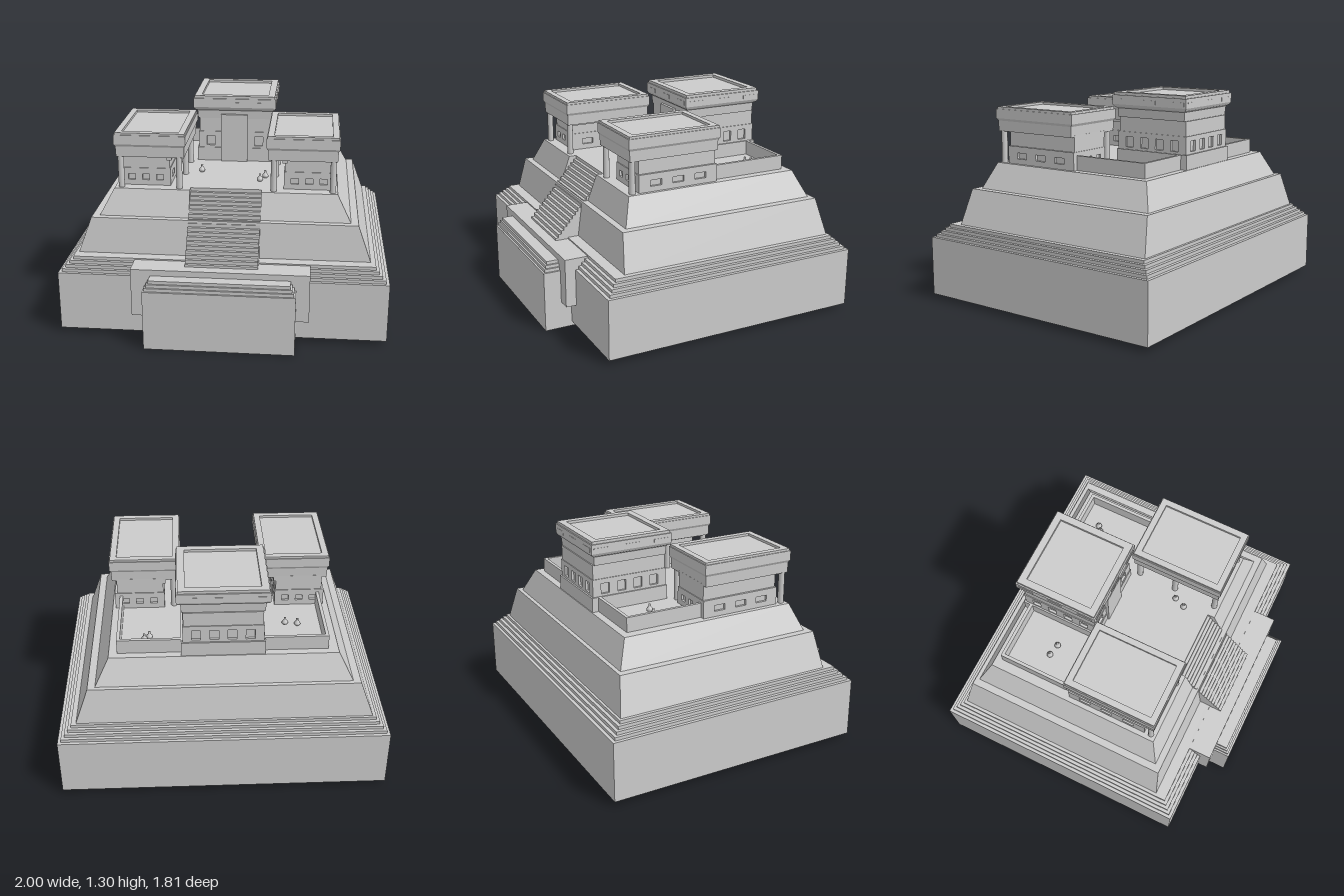
import * as THREE from 'three';

const mat = new THREE.MeshStandardMaterial({ color: 0xcccccc, flatShading: true, side: THREE.DoubleSide });
const smooth = new THREE.MeshStandardMaterial({ color: 0xcccccc, side: THREE.DoubleSide });

function add(parent, name, geo, material = mat) {
  const m = new THREE.Mesh(geo, material);
  m.name = name;
  parent.add(m);
  return m;
}

// Box from its limits
function box(parent, name, x0, x1, y0, y1, z0, z1) {
  const g = new THREE.BoxGeometry(Math.abs(x1 - x0), y1 - y0, z1 - z0);
  g.translate((x0 + x1) / 2, (y0 + y1) / 2, (z0 + z1) / 2);
  return add(parent, name, g);
}

// Shell through outlines of [x, y, z] corners, closed at the last one
function loft(parent, name, loops) {
  const pos = [], n = loops[0].length, last = loops[loops.length - 1];
  for (let k = 0; k + 1 < loops.length; k++) {
    const lo = loops[k], hi = loops[k + 1];
    for (let i = 0; i < n; i++) {
      const j = (i + 1) % n;
      pos.push(...lo[i], ...lo[j], ...hi[j], ...lo[i], ...hi[j], ...hi[i]);
    }
  }
  const flat = last.map(([x, , z]) => new THREE.Vector2(x, -z));
  for (const tri of THREE.ShapeUtils.triangulateShape(flat, [])) for (const i of tri) pos.push(...last[i]);
  const g = new THREE.BufferGeometry();
  g.setAttribute('position', new THREE.Float32BufferAttribute(pos, 3));
  g.computeVertexNormals();
  return add(parent, name, g);
}

// Shell through rectangles [x0, x1, z0, z1, y]
function shell(parent, name, rings) {
  return loft(parent, name, rings.map(([x0, x1, z0, z1, y]) => [[x0, y, z1], [x1, y, z1], [x1, y, z0], [x0, y, z0]]));
}

const inset = ([x0, x1, z0, z1], d) => [x0 + d, x1 - d, z0 + d, z1 - d];

// Rings of a hollow plinth: inner wall, stepped lower rim, outer wall, stepped top
function plinthRings(plan, y0, y1, steps, tread, rise) {
  const rings = [[...inset(plan, steps * tread), y1]];
  for (let i = steps; i > 0; i--) {
    rings.push([...inset(plan, i * tread), y0 + i * rise], [...inset(plan, (i - 1) * tread), y0 + i * rise]);
  }
  rings.push([...plan, y0], [...plan, y1]);
  for (let i = 1; i <= steps; i++) {
    const r = inset(plan, i * tread);
    rings.push([...r, y1 + (i - 1) * rise], [...r, y1 + i * rise]);
  }
  return rings;
}

// Roof: stack of [inset, y] over a plan rectangle, ending in a sunken top
function roof(parent, name, plan, profile) {
  shell(parent, name, profile.map(([d, y]) => [...inset(plan, d), y]));
}

// Window band: recessed core between two rails, with posts round all sides
function windowBand(parent, plan, y0, s0, s1, y1, nx, nz) {
  const [x0, x1, z0, z1] = plan;
  const [a, b, c, e] = inset(plan, 0.015);
  box(parent, 'windowRecess', a, b, s0, s1, c, e);
  box(parent, 'lowerRail', x0, x1, y0, s0, z0, z1);
  box(parent, 'upperRail', x0, x1, s1, y1, z0, z1);
  const wx = (x1 - x0) / (2 * nx + 1), wz = (z1 - z0) / (2 * nz + 1);
  for (let i = 0; i <= nx; i++) {
    const x = x0 + 2 * i * wx;
    box(parent, 'post', x, x + wx, s0, s1, e, z1);
    box(parent, 'post', x, x + wx, s0, s1, z0, c);
  }
  for (let i = 0; i <= nz; i++) {
    const z = z0 + 2 * i * wz;
    box(parent, 'post', b, x1, s0, s1, z, z + wz);
    box(parent, 'post', x0, a, s0, s1, z, z + wz);
  }
}

// Stair limits, shared by the stairway and the notch in the upper tier
const stair = { x0: -0.222, x1: 0.217, top: 0.39 };

// Hollow stepped base, sloping lower tier, and upper tier notched for the stairs
function buildPyramid(root) {
  const rings = plinthRings([-1, 1, -0.905, 0.735], 0.03, 0.4, 4, 0.02, 0.02);
  rings.push([-0.9, 0.89, -0.81, 0.585, 0.48], [-0.82, 0.81, -0.77, 0.555, 0.7]);
  shell(root, 'baseAndLowerTier', rings);

  const { x0: n0, x1: n1, top } = stair;
  const notched = (x0, x1, z0, z1, y) => [[x0, y, z1], [n0, y, z1], [n0, y, top], [n1, y, top],
    [n1, y, z1], [x1, y, z1], [x1, y, z0], [x0, y, z0]];
  loft(root, 'upperTier', [notched(-0.775, 0.765, -0.745, 0.515, 0.7), notched(-0.69, 0.68, -0.675, 0.455, 0.86)]);
}

// Front block with stepped rim, landing and stairway
function buildEntrance(root) {
  shell(root, 'frontBlock', plinthRings([-0.455, 0.45, 0.04, 0.905], 0, 0.375, 3, 0.011, 0.02));
  const landing = [-0.54, 0.53, 0.65, 0.8];
  shell(root, 'landing', [[...landing, 0.17], [...landing, 0.472]]);

  const n = 18, z0 = 0.735, z1 = stair.top, y0 = 0.465, y1 = 0.86;
  const dz = (z0 - z1) / n, dy = (y1 - y0) / n;
  const s = new THREE.Shape();
  s.moveTo(z0, y0);
  for (let i = 0; i < n; i++) {
    s.lineTo(z0 - i * dz, y0 + (i + 1) * dy);
    s.lineTo(z0 - (i + 1) * dz, y0 + (i + 1) * dy);
  }
  s.lineTo(z1, 0.7);
  s.lineTo(0.51, 0.7);
  s.lineTo(0.585, y0);
  const g = new THREE.ExtrudeGeometry(s, { depth: stair.x1 - stair.x0, bevelEnabled: false });
  g.rotateY(-Math.PI / 2);
  g.translate(stair.x1, 0, 0);
  add(root, 'stairway', g);
}

// Side temple with an open porch; s = 1 left, -1 right
function buildSideTemple(root, s) {
  const t = new THREE.Group();
  t.name = s > 0 ? 'leftTemple' : 'rightTemple';
  const span = (a, b) => (s > 0 ? [a, b] : [-b, -a]);
  windowBand(t, [...span(0.35, 0.66), -0.14, 0.38], 0.86, 0.893, 0.93, 0.97, 3, 3);
  box(t, 'upperWall', ...span(0.355, 0.645), 0.97, 1.07, -0.135, 0.375);
  box(t, 'lintel', ...span(0.34, 0.37), 1.03, 1.07, -0.13, 0.4);
  for (const x of [0.29, 0.65]) {
    for (const z of x < 0.5 ? [0.42, 0.14, -0.11] : [0.42]) {
      const g = new THREE.CylinderGeometry(0.019, 0.019, 0.21, 16);
      g.translate(s * x, 0.965, z);
      add(t, 'porchColumn', g, smooth);
    }
  }
  const plan = [...span(0.245, 0.685), -0.145, 0.455];
  roof(t, 'roof', plan, [[0.2, 1.06], [0.011, 1.06], [0.009, 1.125], [0, 1.14], [0, 1.198],
    [0.006, 1.198], [0.006, 1.212], [0.045, 1.212], [0.045, 1.197]]);
  root.add(t);
}

// Taller temple at the back
function buildMainTemple(root) {
  const t = new THREE.Group();
  t.name = 'mainTemple';
  box(t, 'plinth', -0.25, 0.25, 0.86, 0.95, -0.67, -0.16);
  windowBand(t, [-0.24, 0.24, -0.66, -0.165], 0.95, 0.965, 1.03, 1.06, 4, 4);
  box(t, 'upperWall', -0.235, 0.235, 1.06, 1.15, -0.655, -0.17);
  box(t, 'doorway', -0.09, 0.085, 0.86, 1.18, -0.25, -0.147);
  const plan = [-0.272, 0.272, -0.675, -0.14];
  roof(t, 'roof', plan, [[0.1, 1.15], [0.028, 1.15], [0.024, 1.205], [0.008, 1.215], [0, 1.23], [0, 1.288],
    [0.008, 1.288], [0.008, 1.305], [0.052, 1.305], [0.052, 1.288]]);
  // Stepped frieze below the roof edge
  for (const u of [-0.2, 0, 0.2]) {
    const w = 0.05, z = u - 0.41;
    for (const [a, b] of [[-0.145, -0.138], [-0.677, -0.67]]) box(t, 'friezeBlock', u - w, u + w, 1.24, 1.265, a, b);
    for (const e of [-0.27, 0.27]) box(t, 'friezeBlock', e - 0.004, e + 0.004, 1.24, 1.265, z - w, z + w);
  }
  root.add(t);
}

// Low wall round the rear court
function buildCourtWall(root) {
  for (const s of [-1, 1]) {
    box(root, 'courtSideWall', s * 0.61, s * 0.63, 0.86, 0.95, -0.63, -0.14);
    box(root, 'courtBackWall', s * 0.24, s * 0.63, 0.86, 0.95, -0.63, -0.61);
  }
}

// Jars standing on the plaza
function buildJars(root) {
  const profile = [[0, 0], [0.012, 0], [0.02, 0.011], [0.018, 0.021], [0.008, 0.032], [0.006, 0.042], [0.008, 0.047], [0, 0.049]]
    .map(([r, y]) => new THREE.Vector2(r, y));
  const g = new THREE.LatheGeometry(profile, 14);
  const spots = [[-0.47, -0.375], [-0.395, -0.36], [0.44, -0.48], [0.47, -0.505], [-0.19, 0.09], [0.225, 0.175], [0.195, 0.245]];
  for (const [x, z] of spots) add(root, 'jar', g, smooth).position.set(x, 0.86, z);
}

export function createModel() {
  const root = new THREE.Group();
  root.name = 'templePyramid';
  buildPyramid(root);
  buildEntrance(root);
  buildCourtWall(root);
  buildMainTemple(root);
  for (const s of [-1, 1]) buildSideTemple(root, s);
  buildJars(root);
  return root;
}
